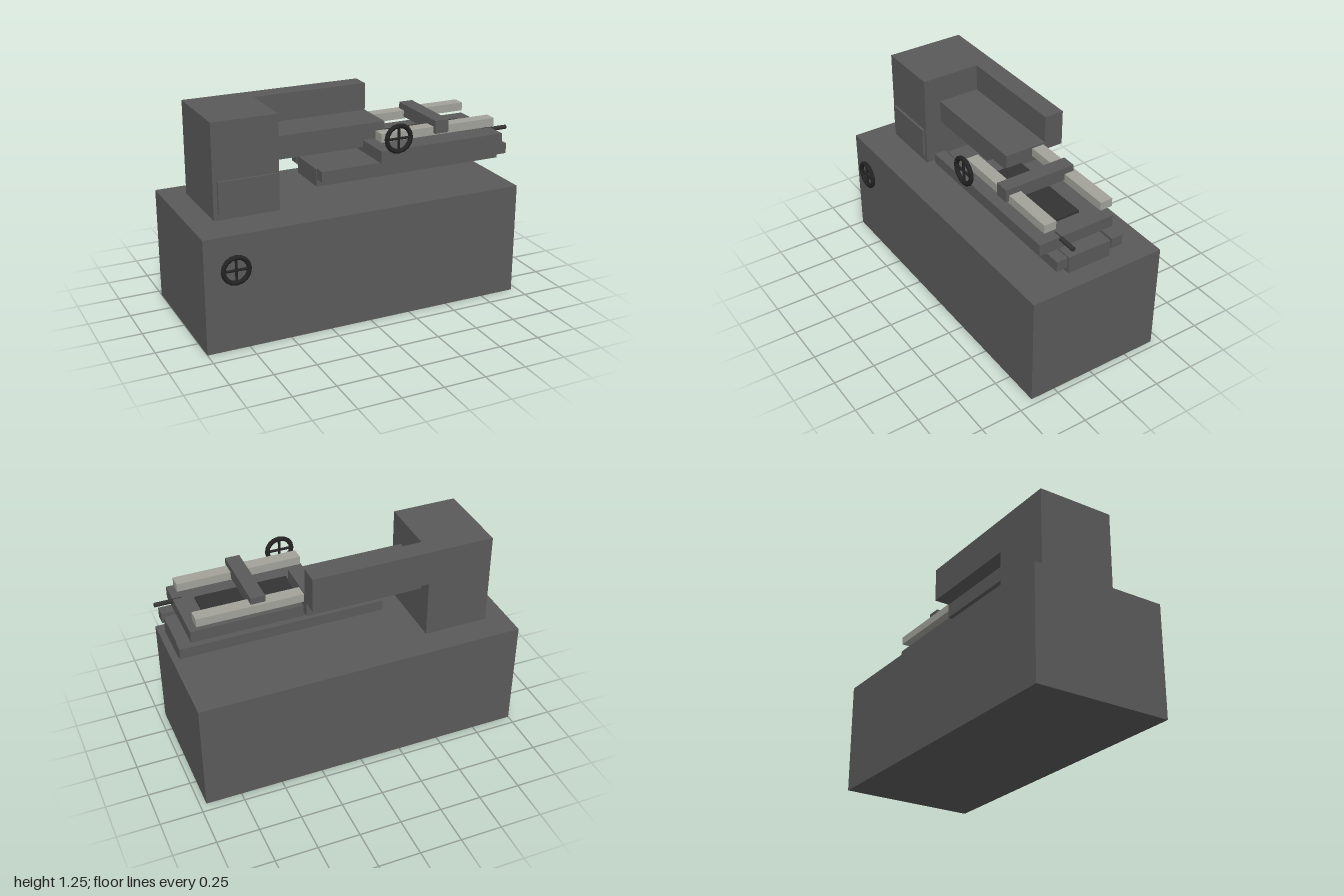
import * as THREE from 'three';

export function createModel() {
  const model = new THREE.Group();
  model.name = 'machineTool';

  const material = (name, color) => {
    const m = new THREE.MeshStandardMaterial({ color });
    m.name = name;
    return m;
  };
  const body = material('machine grey', 0x5a5a5a);
  const steel = material('pale steel', 0xa2a29b);
  const dark = material('dark grey', 0x333333);
  const black = material('handwheel black', 0x232323);

  // Box given by its extents on each axis
  const box = (name, mat, [x0, x1], [y0, y1], [z0, z1], parent = model) => {
    const mesh = new THREE.Mesh(new THREE.BoxGeometry(x1 - x0, y1 - y0, z1 - z0), mat);
    mesh.position.set((x0 + x1) / 2, (y0 + y1) / 2, (z0 + z1) / 2);
    mesh.name = name;
    parent.add(mesh);
    return mesh;
  };

  // Cabinet and headstock
  box('baseCabinet', body, [-1, 0.962], [0, 0.68], [-0.445, 0.402]);
  box('headColumn', body, [-0.86, -0.47], [0.69, 1.252], [-0.29, 0.19]);
  box('accessDoor', body, [-0.835, -0.49], [0.735, 0.915], [0.19, 0.205]);
  box('rearArm', body, [-0.47, 0.236], [1.04, 1.252], [-0.29, -0.172]);
  box('spindleHousing', body, [-0.47, 0.236], [0.95, 1.088], [-0.195, 0.087]);

  // Bed with a way on either side
  box('bed', body, [-0.24, 0.955], [0.79, 0.892], [-0.088, 0.18]);
  box('frontWay', body, [-0.245, 0.963], [0.842, 0.905], [0.196, 0.264]);
  box('rearWay', body, [-0.245, 0.963], [0.842, 0.905], [-0.162, -0.092]);

  // Carriage, its dark insert, guide rails and crossbar
  box('carriage', body, [0.096, 0.892], [0.922, 0.993], [-0.147, 0.324]);
  box('carriageInsert', dark, [0.23, 0.776], [0.995, 1.008], [-0.012, 0.145]);
  box('frontGuideRail', steel, [0.12, 0.86], [1.028, 1.078], [0.2, 0.275]);
  box('rearGuideRail', steel, [0.12, 0.86], [1.028, 1.078], [-0.162, -0.086]);
  box('crossbar', body, [0.455, 0.541], [1.04, 1.117], [-0.145, 0.295]);

  // Lead screw end
  const rod = new THREE.Mesh(new THREE.CylinderGeometry(0.013, 0.013, 0.16, 12), dark);
  rod.rotation.z = Math.PI / 2;
  rod.position.set(0.92, 0.981, 0.19);
  rod.name = 'leadScrew';
  model.add(rod);

  // Handwheels: rim with crossed spokes
  const handwheel = (name, x, y, z) => {
    const wheel = new THREE.Group();
    wheel.name = name;
    const rim = new THREE.Mesh(new THREE.TorusGeometry(0.075, 0.014, 8, 16), black);
    rim.name = 'rim';
    wheel.add(rim);
    for (const turn of [0, Math.PI / 2]) {
      const spoke = new THREE.Mesh(new THREE.CylinderGeometry(0.008, 0.008, 0.15, 8), black);
      spoke.rotation.z = turn;
      spoke.name = 'spoke';
      wheel.add(spoke);
    }
    wheel.position.set(x, y, z);
    model.add(wheel);
  };
  handwheel('carriageHandwheel', 0.195, 1.062, 0.34);
  handwheel('cabinetHandwheel', -0.825, 0.488, 0.428);

  return model;
}
